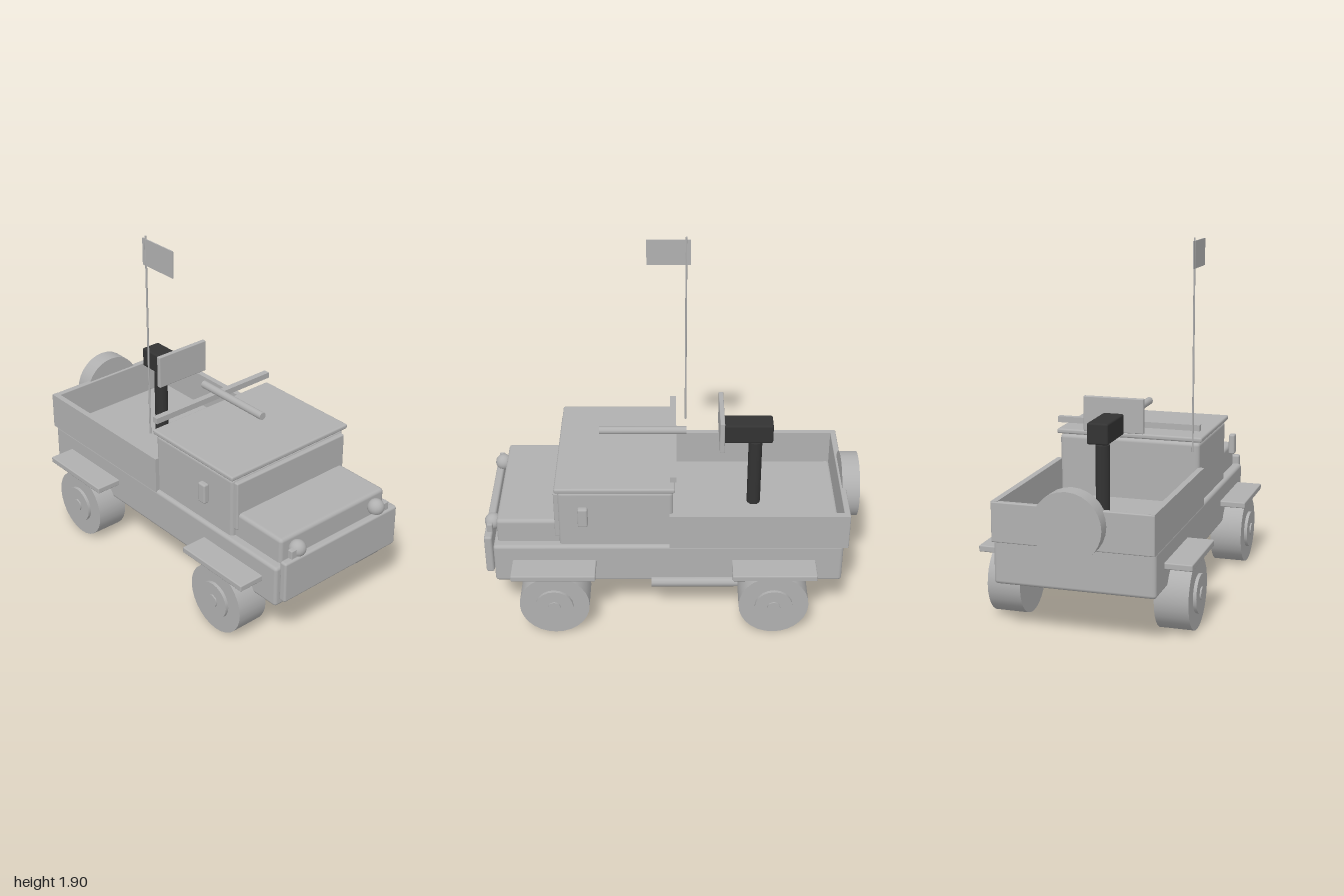
import * as THREE from 'three';
import { RoundedBoxGeometry } from 'three/addons/geometries/RoundedBoxGeometry.js';

export function createModel() {
  const model = new THREE.Group();
  model.name = 'armedTruck';

  const grey = new THREE.MeshStandardMaterial({ color: 0xb0b0b0 });
  grey.name = 'lightGrey';
  const dark = new THREE.MeshStandardMaterial({ color: 0x333333 });
  dark.name = 'darkGrey';

  const add = (name, geometry, x, y, z, material = grey) => {
    const mesh = new THREE.Mesh(geometry, material);
    mesh.name = name;
    mesh.position.set(x, y, z);
    model.add(mesh);
    return mesh;
  };

  // Boxes are given by their [min, max] extents; r > 0 rounds the edges
  const box = (name, [x0, x1], [y0, y1], [z0, z1], r = 0, material = grey) => {
    const size = [x1 - x0, y1 - y0, z1 - z0];
    const geometry = r ? new RoundedBoxGeometry(...size, 2, r) : new THREE.BoxGeometry(...size);
    return add(name, geometry, (x0 + x1) / 2, (y0 + y1) / 2, (z0 + z1) / 2, material);
  };

  const rod = (name, radius, length, sides, axis, x, y, z, material = grey) => {
    const geometry = new THREE.CylinderGeometry(radius, radius, length, sides);
    if (axis === 'x') geometry.rotateZ(Math.PI / 2);
    if (axis === 'z') geometry.rotateX(Math.PI / 2);
    return add(name, geometry, x, y, z, material);
  };

  // Body, cab and hood
  box('chassisBody', [-0.413, 0.413], [0.26, 0.49], [-0.9, 0.95], 0.018);
  box('cab', [-0.39, 0.39], [0.47, 0.82], [0, 0.6], 0.02);
  box('hood', [-0.365, 0.365], [0.47, 0.625], [0.58, 0.93], 0.02);
  box('windshield', [-0.375, 0.375], [0.53, 0.805], [0.59, 0.623], 0.008);
  box('roof', [-0.405, 0.405], [0.825, 0.852], [-0.01, 0.615], 0.01);
  box('roofSeal', [-0.37, 0.37], [0.81, 0.83], [0.02, 0.58]);
  box('frontBumper', [-0.395, 0.395], [0.305, 0.535], [0.955, 0.998], 0.012);

  // Cargo bed
  for (const s of [-1, 1]) {
    const x = s * 0.397;
    box('bedSide', [x - 0.016, x + 0.016], [0.48, 0.685], [-0.92, 0.02]);
  }
  box('tailgate', [-0.413, 0.413], [0.48, 0.683], [-0.925, -0.893], 0.006);
  rod('spareWheel', 0.176, 0.095, 28, 'z', 0, 0.607, -0.952);

  // Wheels, axles and fenders
  for (const z of [0.63, -0.533]) {
    rod('axle', 0.035, 1.1, 8, 'x', 0, 0.186, z);
    for (const s of [-1, 1]) {
      rod('wheel', 0.186, 0.175, 28, 'x', s * 0.4375, 0.186, z);
      rod('hub', 0.1, 0.06, 20, 'x', s * 0.512, 0.186, z);
      const x = s * 0.475;
      box('fender', [x - 0.078, x + 0.078], [0.367, 0.4], [z - 0.222, z + 0.222], 0.006);
    }
  }

  // Headlights and mirrors
  for (const s of [-1, 1]) {
    add('headlight', new THREE.SphereGeometry(0.045, 18, 12), s * 0.278, 0.56, 0.957);
    box('lampBracket', [s * 0.325 - 0.018, s * 0.325 + 0.018], [0.525, 0.58], [0.955, 0.985], 0.005);
    box('mirror', [s * 0.463 - 0.017, s * 0.463 + 0.017], [0.665, 0.777], [0.44, 0.492], 0.01);
  }

  // Exhaust pipe along the left sill
  rod('exhaustPipe', 0.027, 0.46, 10, 'z', 0.415, 0.257, -0.113);

  // Mounted gun with its shield and support bar
  rod('gunPost', 0.037, 0.4, 12, 'y', 0, 0.685, -0.442, dark);
  box('gunReceiver', [-0.056, 0.056], [0.903, 1.013], [-0.533, -0.262], 0.01, dark);
  box('gunShield', [-0.162, 0.162], [0.912, 1.095], [-0.27, -0.245], 0.005);
  rod('gunBarrel', 0.021, 0.465, 12, 'z', 0, 0.953, 0.162);
  box('crossBar', [-0.395, 0.395], [0.89, 0.922], [-0.017, 0.017]);

  // Antenna and flag
  rod('antenna', 0.005, 1.115, 8, 'y', -0.372, 1.347, -0.07);
  box('flag', [-0.375, -0.369], [1.747, 1.888], [-0.093, 0.14]);

  return model;
}
